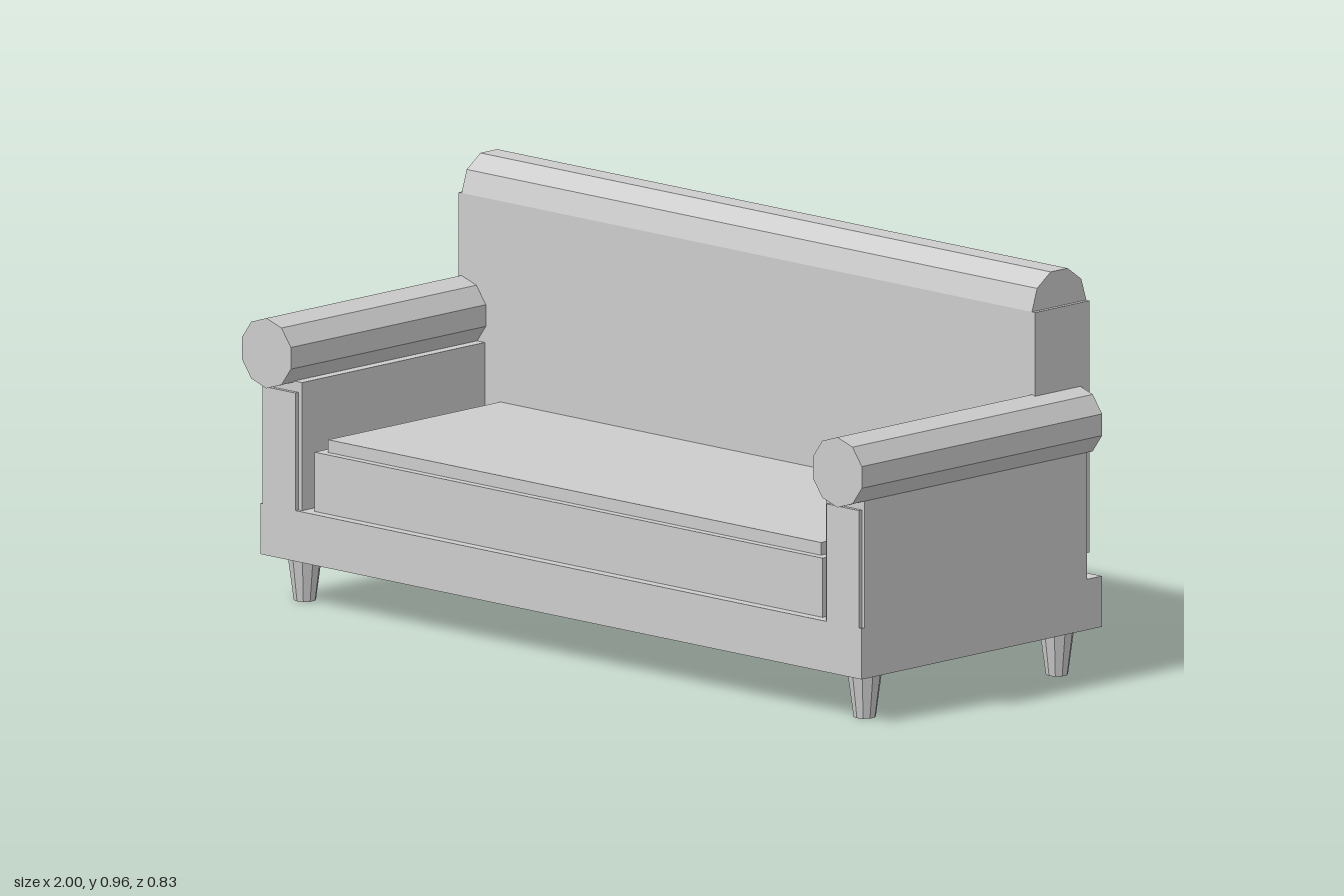
import * as THREE from 'three';

export function createModel() {
  const sofa = new THREE.Group();
  sofa.name = 'sofa';
  const grey = new THREE.MeshStandardMaterial({ color: 0xcccccc });
  grey.name = 'light grey';
  grey.flatShading = true;

  const add = (name, geometry) => {
    const mesh = new THREE.Mesh(geometry, grey);
    mesh.name = name;
    sofa.add(mesh);
    return mesh;
  };
  // Box given by its low and high limits on each axis
  const box = (name, x0, x1, y0, y1, z0, z1) =>
    add(name, new THREE.BoxGeometry(x1 - x0, y1 - y0, z1 - z0))
      .position.set((x0 + x1) / 2, (y0 + y1) / 2, (z0 + z1) / 2);
  // Side profile of [z, y] points, extruded across the width
  const acrossWidth = (name, points, halfWidth) => {
    const shape = new THREE.Shape(points.map(([z, y]) => new THREE.Vector2(-z, y)));
    const geometry = new THREE.ExtrudeGeometry(shape, { depth: halfWidth * 2, bevelEnabled: false });
    geometry.translate(0, 0, -halfWidth).rotateY(Math.PI / 2);
    return add(name, geometry);
  };

  // Base and seat
  box('base', -0.97, 0.97, 0.11, 0.23, -0.41, 0.385);
  box('seatCushion', -0.82, 0.82, 0.23, 0.37, -0.36, 0.36);
  box('seatCushionTop', -0.795, 0.795, 0.37, 0.4, -0.24, 0.34);

  // Backrest, its faceted top roll and the shallow rear panel
  box('backrest', -0.93, 0.93, 0.28, 0.875, -0.41, -0.23);
  acrossWidth('backrestRoll', [
    [-0.23, 0.875], [-0.247, 0.928], [-0.292, 0.96],
    [-0.348, 0.96], [-0.393, 0.928], [-0.41, 0.875],
  ], 0.92);
  acrossWidth('rearPanel', [[-0.409, 0.865], [-0.415, 0.865], [-0.4105, 0.57], [-0.409, 0.57]], 0.92);

  for (const side of [-1, 1]) {
    const label = side > 0 ? 'left' : 'right';
    const mirrored = (name, inner, outer, ...rest) =>
      box(label + name, Math.min(side * inner, side * outer), Math.max(side * inner, side * outer), ...rest);

    // Arm with front panel and ten-sided roll
    mirrored('Arm', 0.845, 0.97, 0.23, 0.533, -0.36, 0.375);
    mirrored('ArmFrontPanel', 0.857, 0.962, 0.23, 0.508, 0.375, 0.385);
    const roll = new THREE.CylinderGeometry(0.083, 0.083, 0.795, 10);
    roll.rotateX(Math.PI / 2);
    add(label + 'ArmRoll', roll).position.set(side * 0.921, 0.597, 0.0175);

    // Tapered legs
    for (const [end, z] of [['Front', 0.306], ['Rear', -0.33]]) {
      add(label + end + 'Leg', new THREE.CylinderGeometry(0.041, 0.026, 0.11, 10))
        .position.set(side * 0.903, 0.055, z);
    }
  }
  return sofa;
}
